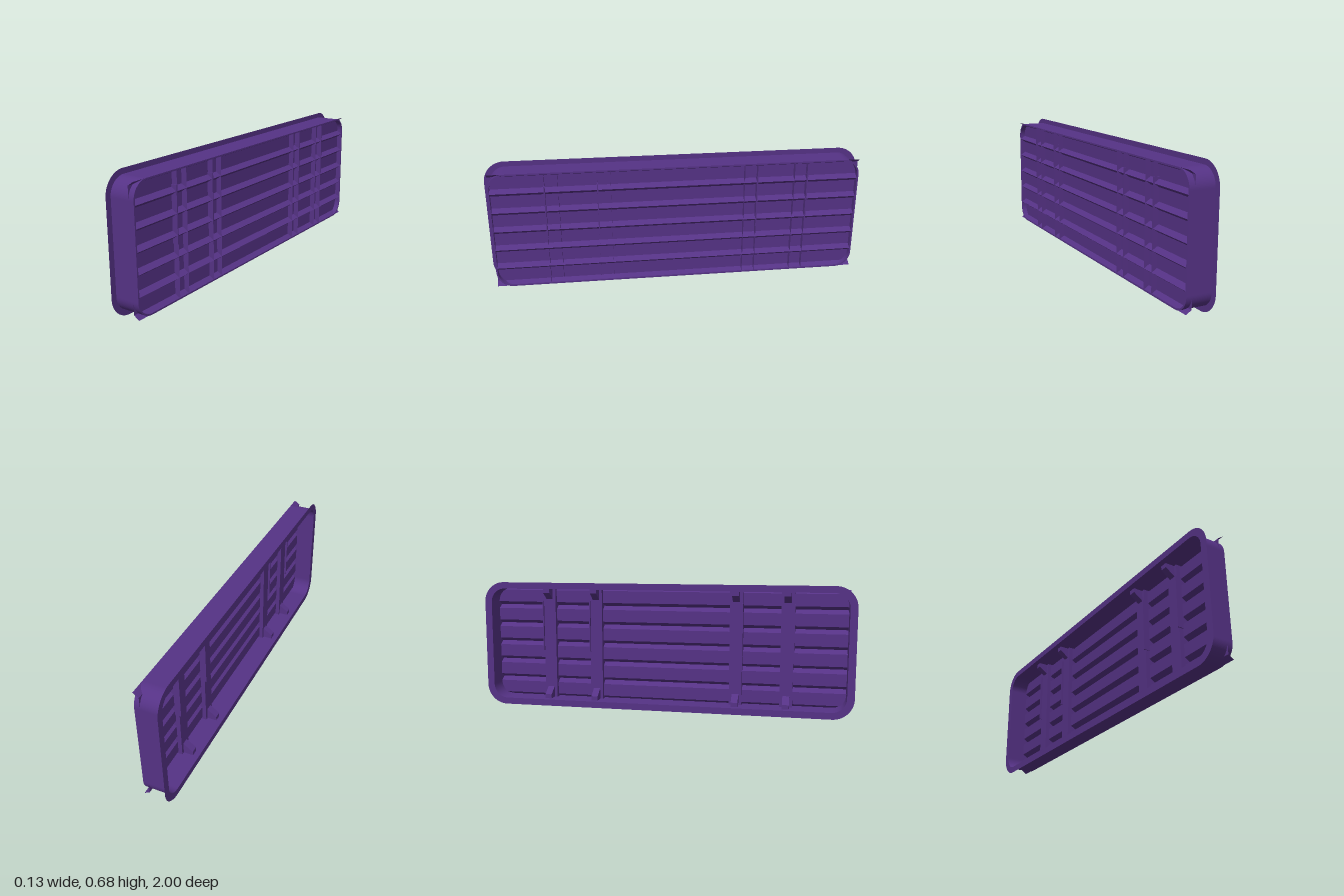
import * as THREE from 'three';

const material = new THREE.MeshStandardMaterial({ color: 0x553285, side: THREE.DoubleSide });
const MID_Y = 0.341;      // mid height of the grille
const FRONT = 0.065;      // louvre side
const BACK = -0.065;      // flange side

// Rounded rectangle centred on the origin
function roundedRect(Type, w, h, r) {
  const s = new Type(), a = w / 2, b = h / 2;
  s.moveTo(-a + r, -b);
  s.lineTo(a - r, -b);
  s.absarc(a - r, -b + r, r, -Math.PI / 2, 0);
  s.lineTo(a, b - r);
  s.absarc(a - r, b - r, r, 0, Math.PI / 2);
  s.lineTo(-a + r, b);
  s.absarc(-a + r, b - r, r, Math.PI / 2, Math.PI);
  s.lineTo(-a, -b + r);
  s.absarc(-a + r, -b + r, r, Math.PI, Math.PI * 1.5);
  return s;
}

function ring(w, h, r, innerW, innerH, innerR) {
  const s = roundedRect(THREE.Shape, w, h, r);
  s.holes.push(roundedRect(THREE.Path, innerW, innerH, innerR));
  return s;
}

function add(parent, name, geometry, x = 0, y = 0, z = 0) {
  const mesh = new THREE.Mesh(geometry, material);
  mesh.name = name;
  mesh.position.set(x, y, z);
  parent.add(mesh);
  return mesh;
}

// Folded sheet: each louvre is a wall with a pointed lip above and below it
function louvreSheet() {
  const pitch = 0.104, top = 0.655, wall = 0.036, count = 6;
  const profile = [[FRONT, top]];
  for (let i = 0; i < count; i++) {
    const y = top - i * pitch;
    profile.push([wall, y - 0.02], [wall, y - pitch + 0.018], [FRONT, y - pitch]);
  }
  const plane = new THREE.PlaneGeometry(1.94, 1, 1, profile.length - 1);
  const p = plane.attributes.position;
  for (let i = 0; i < p.count; i++) {
    const [x, y] = profile[Math.floor(i / 2)];
    p.setY(i, y);
    p.setZ(i, x);
  }
  const g = plane.toNonIndexed();
  g.rotateY(Math.PI / 2);
  g.computeVertexNormals();
  return g;
}

// Wedge foot that joins a post to the casing
function footGeometry() {
  const width = 0.036;
  const s = new THREE.Shape();
  s.moveTo(0.03, 0);
  s.lineTo(0.03, 0.065);
  s.lineTo(0.015, 0.065);
  s.lineTo(-0.035, 0.028);
  s.lineTo(-0.035, 0);
  s.closePath();
  const g = new THREE.ExtrudeGeometry(s, { depth: width, bevelEnabled: false });
  return g.translate(0, 0, -width / 2);
}

export function createModel() {
  const model = new THREE.Group();
  model.name = 'ventGrille';

  // Casing: short rounded tube
  const casing = new THREE.ExtrudeGeometry(
    ring(1.94, 0.628, 0.085, 1.924, 0.612, 0.077),
    { depth: FRONT - BACK, bevelEnabled: false, curveSegments: 12 });
  casing.rotateY(Math.PI / 2);
  add(model, 'casing', casing, BACK, MID_Y, 0);

  // Thin flange around the back opening
  const flange = new THREE.ShapeGeometry(ring(2, 0.682, 0.11, 1.924, 0.612, 0.077), 12);
  flange.rotateY(Math.PI / 2);
  add(model, 'flange', flange, BACK, MID_Y, 0);

  add(model, 'louvres', louvreSheet());

  // Four channel posts, open to the front, with clips and feet
  const foot = footGeometry();
  const depth = FRONT - 0.015, height = 0.62, half = 0.034;
  const sidePlate = new THREE.PlaneGeometry(depth, height);
  const backPlate = new THREE.PlaneGeometry(half * 2, height).rotateY(-Math.PI / 2);
  const clip = new THREE.BoxGeometry(0.062, 0.28, 0.006);
  for (const side of [1, -1]) {
    for (const [z, clipZ] of [[0.653, 0.689], [0.385, 0.419]]) {
      const post = new THREE.Group();
      post.name = 'post';
      post.position.z = side * z;
      model.add(post);
      add(post, 'postBack', backPlate, 0.015, MID_Y, 0);
      for (const s of [1, -1]) {
        add(post, 'postSide', sidePlate, 0.015 + depth / 2, MID_Y, s * half);
      }
      add(post, 'clip', clip, 0.035, 0.44, side * (clipZ - z));
      add(post, 'lowerFoot', foot, 0, 0.03, 0);
      add(post, 'upperFoot', foot, 0, 0.652, 0).rotation.x = Math.PI;
    }
  }
  return model;
}
